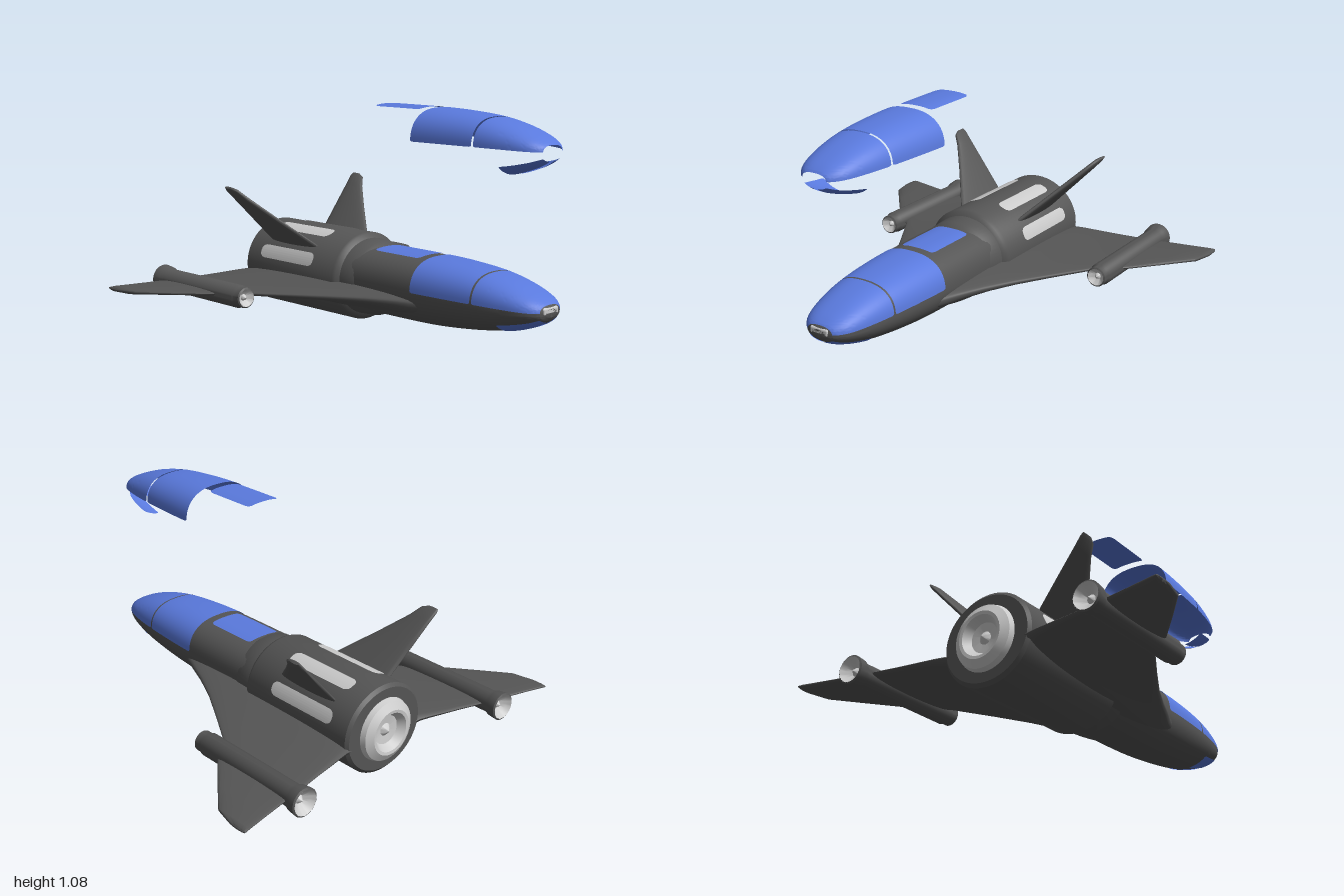
import * as THREE from 'three';
import { toCreasedNormals } from 'three/addons/utils/BufferGeometryUtils.js';
import { RoundedBoxGeometry } from 'three/addons/geometries/RoundedBoxGeometry.js';

const hullMat = new THREE.MeshStandardMaterial({ color: 0x555555 });
const lightMat = new THREE.MeshStandardMaterial({ color: 0xcccccc, side: THREE.DoubleSide });
const blueMat = new THREE.MeshStandardMaterial({ color: 0x5a7ade, side: THREE.DoubleSide });
const AXIS_Y = 0.22;
const rad = THREE.MathUtils.degToRad;

function add(parent, name, geometry, material) {
  const mesh = new THREE.Mesh(geometry, material);
  mesh.name = name;
  parent.add(mesh);
  return mesh;
}

// surface through a grid of points, point(i, j) gives [x, y, z]
function grid(rows, cols, point, crease = 0.6) {
  const pos = [], idx = [];
  for (let i = 0; i <= rows; i++) for (let j = 0; j <= cols; j++) pos.push(...point(i, j));
  for (let i = 0; i < rows; i++) for (let j = 0; j < cols; j++) {
    const a = i * (cols + 1) + j, b = a + cols + 1;
    idx.push(a, b, a + 1, b, b + 1, a + 1);
  }
  const g = new THREE.BufferGeometry();
  g.setAttribute('position', new THREE.Float32BufferAttribute(pos, 3));
  g.setIndex(idx);
  return toCreasedNormals(g, crease);
}

// stations [z, half width, top y, bottom y] become a function of z and angle
function hullSurface(stations, power) {
  return (z, angle, lift = 0) => {
    let k = 0;
    while (k < stations.length - 2 && stations[k + 1][0] > z) k++;
    const a = stations[k], b = stations[k + 1];
    const t = THREE.MathUtils.clamp((a[0] - z) / (a[0] - b[0] || 1), 0, 1);
    const [w, top, bottom] = [1, 2, 3].map(n => a[n] + (b[n] - a[n]) * t);
    const c = Math.cos(angle), s = Math.sin(angle);
    const e = 2 / (s > 0 ? power : 2);
    const h = (s > 0 ? top - AXIS_Y : AXIS_Y - bottom) + lift;
    return [(w + lift) * Math.sign(c) * Math.abs(c) ** e, AXIS_Y + h * Math.sign(s) * Math.abs(s) ** e, z];
  };
}

// closed body: rings at each station with flat caps
function hullBody(stations, surface) {
  const n = stations.length, cols = 64;
  return grid(n + 1, cols, (i, j) => {
    const z = stations[Math.min(Math.max(i - 1, 0), n - 1)][0];
    return i === 0 || i === n + 1 ? [0, AXIS_Y, z] : surface(z, j / cols * Math.PI * 2);
  });
}

// rounded panel lying on a hull surface; corner = [length in z, angle]
function panel(surface, zFront, zBack, a0, a1, lift, corner = [0.02, 0.06]) {
  const rows = 40, cols = 32, mid = (a0 + a1) / 2, half = (a1 - a0) / 2;
  return grid(rows, cols, (i, j) => {
    const z = zFront + (zBack - zFront) * (1 - Math.cos(i / rows * Math.PI)) / 2;
    const d = Math.max(0, 1 - Math.min(zFront - z, z - zBack) / corner[0]);
    const reach = half - corner[1] * (1 - Math.sqrt(Math.max(0, 1 - d * d)));
    return surface(z, mid + reach * (j / cols * 2 - 1), lift);
  });
}

// blade along +x from stations [x, leading z, trailing z, top y, bottom y]
function blade(stations, edge) {
  const n = stations.length, cols = 40;
  return grid(n, cols, (i, j) => {
    const [x, lead, trail, top, bottom] = stations[Math.min(i, n - 1)];
    const ridge = bottom + (top - bottom) * edge, p = j / cols * Math.PI * 2, s = Math.sin(p);
    if (i === n) return [x, ridge, (lead + trail) / 2];
    const h = s > 0 ? top - ridge : ridge - bottom;
    return [x, ridge + h * Math.sign(s) * Math.abs(s) ** 0.8, (lead + trail) / 2 + (lead - trail) / 2 * Math.cos(p)];
  }, 0.9);
}

// turned part along z from [radius, z] points
function turned(points) {
  const g = new THREE.LatheGeometry(points.map(p => new THREE.Vector2(...p)), 40);
  return toCreasedNormals(g.rotateX(Math.PI / 2), 0.6);
}

export function createModel() {
  const model = new THREE.Group();
  model.name = 'spacecraft';

  // forward fuselage, smoothed through a few stations
  const key = [[1, 0.035, 0.237, 0.2], [0.985, 0.075, 0.257, 0.18], [0.93, 0.118, 0.288, 0.15],
    [0.82, 0.15, 0.327, 0.115], [0.68, 0.172, 0.357, 0.09], [0.5, 0.188, 0.374, 0.07],
    [0.33, 0.196, 0.381, 0.06], [0, 0.2, 0.384, 0.058], [-0.16, 0.2, 0.384, 0.058]];
  const noseStations = [];
  for (let k = 0; k < key.length - 1; k++) for (let s = 0; s < 6; s++) {
    const q = [key[Math.max(k - 1, 0)], key[k], key[k + 1], key[Math.min(k + 2, key.length - 1)]];
    const z = key[k][0] + (key[k + 1][0] - key[k][0]) * s / 6;
    const slope = (a, b, n) => (b[n] - a[n]) / (b[0] - a[0]);
    const dz = q[2][0] - q[1][0], t = s / 6;
    noseStations.push([z, ...[1, 2, 3].map(n => {
      const m0 = slope(q[0], q[2], n) * dz, m1 = slope(q[1], q[3], n) * dz;
      return (2 * t ** 3 - 3 * t * t + 1) * q[1][n] + (t ** 3 - 2 * t * t + t) * m0
        + (3 * t * t - 2 * t ** 3) * q[2][n] + (t ** 3 - t * t) * m1;
    })]);
  }
  noseStations.push(key[key.length - 1]);
  const nose = hullSurface(noseStations, 2.5);
  add(model, 'fuselage', hullBody(noseStations, nose), hullMat);
  add(model, 'noseLamp', new RoundedBoxGeometry(0.1, 0.035, 0.03, 3, 0.01), lightMat).position.set(0, 0.228, 0.985);

  // collar and engine housing
  const engineStations = [[-0.02, 0.19, 0.383, 0.06], [-0.05, 0.205, 0.405, 0.04], [-0.135, 0.21, 0.41, 0.035],
    [-0.15, 0.225, 0.43, 0.012], [-0.165, 0.233, 0.436, 0.003], [-0.82, 0.233, 0.436, 0.003],
    [-0.835, 0.22, 0.42, 0.02]];
  const engine = hullSurface(engineStations, 2);
  add(model, 'engineHousing', hullBody(engineStations, engine), hullMat);
  for (const a of [22.5, 67.5, 112.5, 157.5]) {
    add(model, 'engineVent', panel(engine, -0.32, -0.72, rad(a - 9), rad(a + 9), 0.003, [0.035, rad(7)]), lightMat);
  }

  // main nozzle with centre spike
  add(model, 'mainNozzle', turned([[0, -0.865], [0.015, -0.855], [0.03, -0.84], [0.07, -0.845], [0.095, -0.88],
    [0.11, -0.882], [0.145, -0.86], [0.155, -0.83]]), lightMat).position.y = AXIS_Y;

  // canopy glazing, and a second set hovering above the hull
  const glazing = (lift) => {
    const g = new THREE.Group();
    add(g, 'frontCanopy', panel(nose, 0.99, 0.688, rad(3), rad(177), lift, [0.015, 0.04]), blueMat);
    add(g, 'rearCanopy', panel(nose, 0.678, 0.33, rad(3), rad(177), lift, [0.015, 0.04]), blueMat);
    add(g, 'roofPanel', panel(nose, 0.285, -0.012, rad(68), rad(112), lift, [0.03, 0.1]), blueMat);
    for (const a of [-60, -120]) {
      add(g, 'chinPanel', panel(nose, 0.985, 0.79, rad(a - 22), rad(a + 22), lift, [0.015, 0.06]), blueMat);
    }
    return g;
  };
  const fitted = glazing(0.003), raised = glazing(0);
  fitted.name = 'fittedGlazing';
  raised.name = 'raisedGlazing';
  raised.position.y = 0.694;
  model.add(fitted, raised);

  // wing, tail fin and pod on each side
  const wing = blade([[0.1, 0.6, -0.83, 0.225, 0.1], [0.2, 0.33, -0.835, 0.222, 0.11],
    [0.235, 0.25, -0.84, 0.218, 0.128], [0.28, 0.14, -0.85, 0.213, 0.138], [0.35, -0.01, -0.865, 0.205, 0.145],
    [0.45, -0.19, -0.885, 0.197, 0.15], [0.56, -0.38, -0.91, 0.19, 0.152], [0.69, -0.5, -0.938, 0.187, 0.154],
    [0.82, -0.66, -0.967, 0.185, 0.155], [0.93, -0.8, -0.993, 0.183, 0.156], [0.952, -0.89, -0.998, 0.178, 0.16],
    [0.957, -0.92, -0.985, 0.172, 0.166]], 0.65);
  const fin = blade([[-0.05, -0.28, -0.69, 0.018, -0.018], [0, -0.33, -0.692, 0.017, -0.017],
    [0.19, -0.5, -0.715, 0.016, -0.016], [0.32, -0.61, -0.73, 0.014, -0.014],
    [0.375, -0.645, -0.738, 0.012, -0.012], [0.393, -0.68, -0.735, 0.006, -0.006]], 0.5);
  const podBody = turned([[0.06, -1], [0.068, -0.995], [0.063, -0.95], [0.054, -0.93], [0.055, -0.37],
    [0.049, -0.36], [0.049, -0.325], [0.042, -0.32]]);
  const podNozzle = turned([[0, -0.985], [0.015, -0.965], [0.02, -0.96], [0.045, -0.98], [0.061, -1]]);
  const podIntake = turned([[0, -0.325], [0.012, -0.335], [0.015, -0.345], [0.03, -0.335], [0.043, -0.32]]);
  for (const side of [1, -1]) {
    const half = new THREE.Group();
    half.name = side > 0 ? 'leftSide' : 'rightSide';
    half.scale.x = side;
    add(half, 'wing', wing, hullMat);
    const tail = add(half, 'tailFin', fin, hullMat);
    tail.position.set(0.165, 0.358, 0);
    tail.rotation.z = rad(47);
    const pod = new THREE.Group();
    pod.name = 'wingPod';
    pod.position.set(0.63, 0.175, 0);
    add(pod, 'podBody', podBody, hullMat);
    add(pod, 'podNozzle', podNozzle, lightMat);
    add(pod, 'podIntake', podIntake, lightMat);
    half.add(pod);
    model.add(half);
  }
  return model;
}
